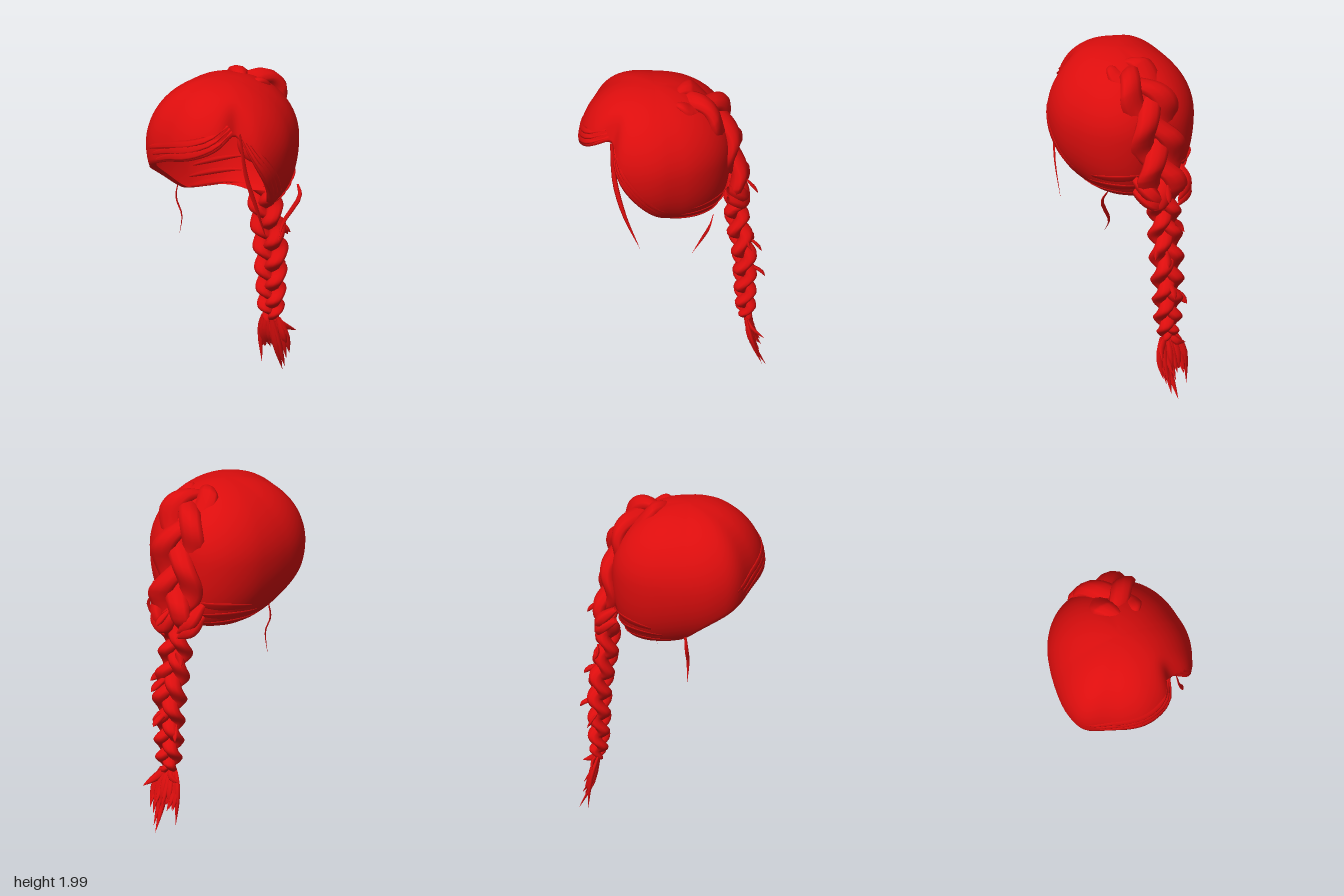
import * as THREE from 'three';

const V = (x, y, z) => new THREE.Vector3(x, y, z);
const red = new THREE.MeshStandardMaterial({ color: 0xdc0d0d, side: THREE.DoubleSide });
red.name = 'red hair';

// Linear lookup in a table of [key, value] rows
function lookup(table, k) {
  if (k <= table[0][0]) return table[0][1];
  for (let i = 1; i < table.length; i++) {
    const [a, va] = table[i - 1], [b, vb] = table[i];
    if (k <= b) return va + (vb - va) * (k - a) / (b - a);
  }
  return table[table.length - 1][1];
}

// Smooth grid surface: rows of points, closed around each row
function gridMesh(name, rows, cols, point) {
  const pos = [], idx = [];
  for (let i = 0; i <= rows; i++)
    for (let j = 0; j < cols; j++) pos.push(...point(i, j).toArray());
  for (let i = 0; i < rows; i++)
    for (let j = 0; j < cols; j++) {
      const k = (j + 1) % cols, a = i * cols + j, b = i * cols + k;
      idx.push(a, a + cols, b, b, a + cols, b + cols);
    }
  const g = new THREE.BufferGeometry();
  g.setAttribute('position', new THREE.Float32BufferAttribute(pos, 3));
  g.setIndex(idx);
  g.computeVertexNormals();
  const m = new THREE.Mesh(g, red);
  m.name = name;
  return m;
}

// Scalp outline and hem height by angle from the front, towards +x
const outline = [[-180, .42], [-160, .455], [-145, .45], [-125, .428], [-105, .405], [-90, .405],
  [-80, .415], [-65, .44], [-50, .46], [-30, .42], [0, .435], [20, .425], [45, .42], [60, .41],
  [90, .41], [105, .405], [125, .428], [145, .45], [160, .455], [180, .42]];
const hemline = [[-180, 1.19], [-110, 1.23], [-90, 1.26], [-70, 1.38], [-45, 1.5], [-22, 1.57],
  [0, 1.61], [18, 1.66], [30, 1.72], [40, 1.77], [47, 1.68], [56, 1.54], [75, 1.36], [90, 1.26],
  [110, 1.23], [180, 1.19]];
const wrap = a => ((a + 540) % 360) - 180;
const soft = (table, a) => [-6, -3, 0, 3, 6].reduce((s, d) => s + lookup(table, wrap(a + d)), 0) / 5;

// Point on the hair cap: a in degrees, t from crown (0) to hem (1)
function cap(a, t, lift = 0) {
  const h = soft(hemline, a) - 1.6;
  const th = t * Math.acos(h / (h > 0 ? .39 : .45));
  const s = Math.sin(th), c = Math.cos(th), r = a * Math.PI / 180;
  const front = Math.max(0, Math.cos(r));
  const pull = .62 + .3 * Math.cos(r) + .2 * Math.sin(r) ** 2;
  const profile = Math.pow(s, c > 0 ? 1 - .2 * front : pull);
  const dip = .07 * Math.exp(-(((a - 40) / 12) ** 2)) * THREE.MathUtils.smoothstep(s, .45, .95);
  const R = (soft(outline, a) - dip) * profile + lift * s;
  return V(R * Math.sin(r), 1.6 + c * (c > 0 ? .39 + lift : .45), .1 + R * Math.cos(r));
}

// Flat tapered lock along a curve, its flat side facing `out`
function lock(name, pts, w, thick, out, n = 10) {
  const curve = new THREE.CatmullRomCurve3(pts), sides = 6;
  return gridMesh(name, n, sides, (i, j) => {
    const u = i / n, T = curve.getTangent(u);
    const X = T.clone().cross(out).normalize(), N = X.clone().cross(T);
    const k = Math.sin(Math.PI * (.15 + .85 * u)), q = j / sides * Math.PI * 2;
    return curve.getPoint(u).addScaledVector(X, Math.cos(q) * w * k)
      .addScaledVector(N, Math.sin(q) * thick * k);
  });
}

// Three-strand braid from the crown, down the back, to the tail
function braid() {
  const g = new THREE.Group();
  g.name = 'braid';
  const path = new THREE.CatmullRomCurve3([V(.07, 1.945, .0), V(.06, 1.925, -.08), V(.05, 1.88, -.18),
    V(.04, 1.77, -.275), V(.03, 1.6, -.32), V(.02, 1.42, -.35), V(.02, 1.28, -.38), V(.01, 1.18, -.365),
    V(.01, 1.05, -.37), V(.02, .8, -.41), V(.02, .6, -.415), V(.02, .34, -.42)]);
  const spread = [[.33, .025], [.45, .042], [.8, .055], [1.15, .054], [1.25, .075], [1.36, .1],
    [1.6, .1], [1.85, .1], [1.95, .08]];
  const depth = [[1.15, .85], [1.3, .62]];
  const n = 240, len = path.getLength(), frames = [];
  let phase = 1.2;
  for (let i = 0; i <= n; i++) {
    const p = path.getPointAt(i / n), T = path.getTangentAt(i / n), A = lookup(spread, p.y);
    const N = V(1, 0, 0).cross(T).normalize(), X = T.clone().cross(N);
    frames.push({ p, N, X, A, phase, d: lookup(depth, p.y) });
    phase += 2 * Math.PI * len / n / (7.6 * A);
  }
  const sides = 10;
  for (let s = 0; s < 3; s++)
    g.add(gridMesh('braidStrand', n, sides, (i, j) => {
      const { p, N, X, A, phase, d } = frames[i], f = phase + s * 2 * Math.PI / 3;
      const end = Math.min(1, Math.sqrt(i / 14), .6 + (n - i) / 20);
      const r = (A * .6 + .018) * end, q = j / sides * Math.PI * 2;
      return p.clone().addScaledVector(X, A * Math.sin(f) + r * Math.cos(q))
        .addScaledVector(N, r * d * (.7 * Math.sin(2 * f) + Math.sin(q)));
    }));
  return g;
}

export function createModel() {
  const model = new THREE.Group();
  model.name = 'braidedHair';
  let seed = 7;
  const rnd = (a, b) => {
    seed = (seed * 16807) % 2147483647;
    return a + (b - a) * seed / 2147483647;
  };

  // Cap with a hem tucked inwards
  const rows = 28, cols = 120;
  model.add(gridMesh('hairCap', rows + 2, cols, (i, j) => {
    const a = wrap(j * 360 / cols), p = cap(a, Math.min(1, i / rows));
    const tuck = Math.max(0, i - rows) * .045;
    return V(p.x * (1 - tuck), p.y + tuck * .1, .1 + (p.z - .1) * (1 - tuck));
  }));

  // Locks lying on the cap between two angles
  const sweep = (name, a0, t0, a1, t1, w, lift) => {
    const pts = [];
    for (let k = 0; k <= 6; k++)
      pts.push(cap(a0 + (a1 - a0) * k / 6, t0 + (t1 - t0) * k / 6, lift));
    const out = pts[3].clone().sub(V(0, 1.6, .1)).normalize();
    model.add(lock(name, pts, w, .004, out, 14));
  };
  for (let k = 0; k < 3; k++) {
    sweep('fringeLock', 35 - k * 2, .92 - k * .06, -48 - k * 6, .98 - k * .05, .022, .001);
    sweep('sideLock', 46 + k * 3, .92 - k * .04, 85 + k * 8, .98 - k * .04, .018, .001);
  }
  for (const s of [-1, 1])
    for (let k = 0; k < 3; k++)
      sweep('napeLock', s * (105 + k * 8), .98 - k * .06, s * 176, .96 - k * .09, .035, .006);

  model.add(braid());

  // Tufts gathered where the braid leaves the nape
  for (const s of [-1, 1])
    for (let k = 0; k < 2; k++)
      model.add(lock('napeTuft', [V(s * .16 + .02, 1.36 - k * .07, -.31), V(s * .12, 1.28 - k * .05, -.4),
        V(s * .04, 1.2 - k * .03, -.43)], .045, .03, V(0, 0, -1)));

  // Short ends escaping from the braid
  for (const [x, y, z] of [[.13, .88, -.45], [.08, .84, -.51], [.05, .64, -.53], [-.07, .56, -.48],
    [-.08, 1.0, -.44], [.06, 1.24, -.49]])
    model.add(lock('strayEnd', [V(x * .4, y + .08, -.42), V(x * .8, y + .03, z + .02), V(x, y, z)],
      .022, .01, V(0, 0, -1), 5));

  // Loose tail of pointed blades
  const tail = new THREE.Group();
  tail.name = 'braidTail';
  for (let k = 0; k < 18; k++) {
    const x = -.07 + .17 * k / 17, tip = V(x, rnd(.05, .17), rnd(-.51, -.47));
    tail.add(lock('tailBlade', [V(.02 + (x - .02) * .6, .36, -.42), V(x, .24, rnd(-.465, -.435)), tip],
      rnd(.018, .028), .014, V(0, 0, -1), 6));
  }
  for (const [x, y, z] of [[.03, 0, -.535], [.06, .03, -.51], [.13, .26, -.52], [-.08, .3, -.45]])
    tail.add(lock('tailBlade', [V(.02, .37, -.41), V(.02 + x * .5, (y + .35) / 2, -.45), V(x, y, z)],
      .024, .012, V(0, 0, -1), 6));
  model.add(tail);

  // Thin strands hanging around the face
  model.add(lock('looseStrand', [V(.24, 1.76, .36), V(.27, 1.5, .34), V(.31, 1.3, .29), V(.33, 1.07, .2)],
    .016, .005, V(1, 0, .3)));
  model.add(lock('looseStrand', [V(-.3, 1.3, .1), V(-.31, 1.2, .11), V(-.27, 1.1, .115), V(-.29, .97, .11)],
    .011, .004, V(-1, 0, .3)));
  model.add(lock('looseStrand', [V(.3, 1.28, -.22), V(.325, 1.22, -.2), V(.24, 1.05, -.15), V(.24, .96, -.1)],
    .013, .003, V(.2, 0, 1)));
  return model;
}
